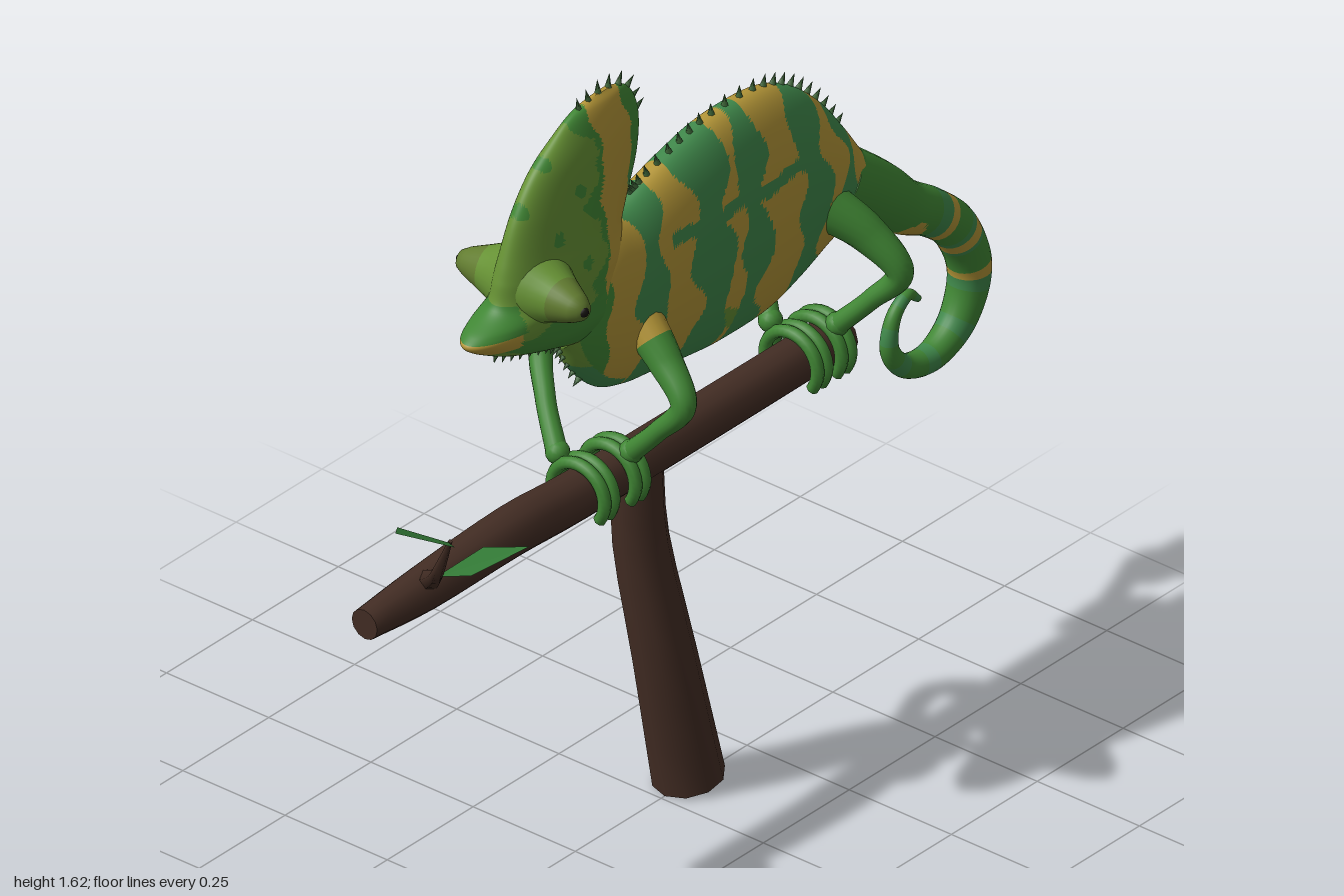
import * as THREE from 'three';
import { mergeGeometries } from 'three/addons/utils/BufferGeometryUtils.js';

const mat = (name, color, extra = {}) => {
  const m = new THREE.MeshStandardMaterial({ color, ...extra });
  m.name = name;
  return m;
};
const V = (x, y, z) => new THREE.Vector3(x, y, z);

// Smooth sampler through rows of numbers, u from 0 to 1
function sampler(rows) {
  const it = new THREE.CubicInterpolant(rows.map((_, i) => i), rows.flat(), rows[0].length);
  return (u) => Array.from(it.evaluate(u * (rows.length - 1)));
}

// Closed skin over n rings of m points; rule(centre, u) picks the material slot
function skin(n, m, ring, rule = () => 0) {
  const pos = [], buckets = [];
  const at = (k) => V(pos[3 * k], pos[3 * k + 1], pos[3 * k + 2]);
  const tri = (a, b, c, u) => {
    const slot = rule(at(a).add(at(b)).add(at(c)).divideScalar(3), u);
    (buckets[slot] ??= []).push(a, b, c);
  };
  for (let i = 0; i <= n; i++)
    for (let j = 0; j < m; j++) pos.push(...ring(i / n, (j / m) * Math.PI * 2).toArray());
  for (let i = 0; i < n; i++)
    for (let j = 0; j < m; j++) {
      const a = i * m + j, b = i * m + (j + 1) % m;
      tri(a, b, a + m, i / n);
      tri(b, b + m, a + m, i / n);
    }
  for (const end of [0, n]) {
    const start = pos.length / 3, mid = V(0, 0, 0);
    for (let j = 0; j < m; j++) {
      const p = at(end * m + j);
      mid.addScaledVector(p, 1 / m);
      pos.push(p.x, p.y, p.z);
    }
    pos.push(mid.x, mid.y, mid.z);
    for (let j = 0; j < m; j++) {
      const a = start + j, b = start + (j + 1) % m;
      if (end) tri(a, b, start + m, 1); else tri(b, a, start + m, 0);
    }
  }
  const g = new THREE.BufferGeometry();
  g.setAttribute('position', new THREE.Float32BufferAttribute(pos, 3));
  const index = [];
  buckets.forEach((list, slot) => {
    g.addGroup(index.length, list.length, slot);
    for (const k of list) index.push(k);
  });
  g.setIndex(index);
  g.computeVertexNormals();
  return g;
}

// Round sweep through rows of [x, y, z, radius]
function sweep(rows, n, m, rule) {
  const s = sampler(rows), X = V(1, 0, 0);
  return skin(n, m, (u, a) => {
    const p = s(u), q = s(Math.min(1, u + 0.01)), o = s(Math.max(0, u - 0.01));
    const T = V(q[0] - o[0], q[1] - o[1], q[2] - o[2]).normalize();
    const N = X.clone().cross(T).normalize(), B = T.clone().cross(N);
    return V(p[0], p[1], p[2]).addScaledVector(N, p[3] * Math.cos(a)).addScaledVector(B, p[3] * Math.sin(a));
  }, rule);
}

// Row of small cones standing off a [z, y] path
function spikes(path, count, h) {
  const s = sampler(path);
  return mergeGeometries(Array.from({ length: count }, (_, i) => {
    const u = i / (count - 1), p = s(u), a = s(Math.max(0, u - 0.02)), b = s(Math.min(1, u + 0.02));
    const n = V(0, a[0] - b[0], b[1] - a[1]).normalize();
    const g = new THREE.ConeGeometry(0.008, h, 6);
    g.translate(0, h * 0.35, 0);
    g.applyQuaternion(new THREE.Quaternion().setFromUnitVectors(V(0, 1, 0), n));
    return g.translate(0, p[1], p[0]);
  }));
}

export function createModel() {
  const green = mat('skin green', 0x408634), lime = mat('head lime', 0x669134);
  const teal = mat('patch teal', 0x3f874a), ochre = mat('band ochre', 0xb39537);
  const spike = mat('spike green', 0x40683a), bark = mat('bark brown', 0x432d24);
  const leafMat = mat('leaf green', 0x327835, { side: THREE.DoubleSide });
  const olive = mat('eye olive', 0x627c30), black = mat('pupil black', 0x15130f);
  const hide = [green, lime, teal, ochre];
  const GREEN = 0, LIME = 1, TEAL = 2, OCHRE = 3;

  const model = new THREE.Group();
  model.name = 'chameleonOnBranch';
  const animal = new THREE.Group();
  animal.name = 'chameleon';
  animal.position.x = -0.05;
  model.add(animal);
  const add = (parent, name, geometry, material) => {
    const mesh = new THREE.Mesh(geometry, material);
    mesh.name = name;
    parent.add(mesh);
    return mesh;
  };

  // Body: rows of [z, top, bottom, half width]
  const bodyRows = sampler([
    [0.24, 1.15, 1.08, 0.03], [0.2, 1.25, 1.01, 0.055], [0.14, 1.3, 0.95, 0.068], [0.07, 1.31, 0.925, 0.076],
    [0, 1.335, 0.915, 0.08], [-0.1, 1.365, 0.9, 0.083], [-0.2, 1.385, 0.89, 0.085], [-0.33, 1.382, 0.893, 0.085],
    [-0.42, 1.35, 0.92, 0.083], [-0.5, 1.285, 0.955, 0.076], [-0.56, 1.21, 0.975, 0.066],
    [-0.62, 1.125, 0.965, 0.055], [-0.67, 1.07, 0.96, 0.042]]);
  // Teal bands: centre z, half width
  const bands = [[0.045, 0.032], [-0.12, 0.048], [-0.24, 0.034], [-0.415, 0.04], [-0.53, 0.024]];
  const bodyRule = ({ x, y, z }) => {
    const wave = 0.009 * Math.sin(y * 26 + z * 8) + 0.005 * Math.sin(y * 55);
    if (z > 0.09 && Math.abs(x) < 0.04 && y < 1.13) return y > 1.03 ? LIME : TEAL;
    if (z + wave > 0.16) return GREEN;
    if (z + wave < -0.605) return GREEN;
    for (const [c, w] of bands)
      if (Math.abs(z - c + wave) < w + 0.015 * Math.sin(y * 33 + c * 40)) return TEAL;
    if (z < -0.01 && z > -0.4 && Math.abs(y - 1.22 + 0.006 * Math.sin(z * 40)) < 0.014) return TEAL;
    if (z < -0.06 && z > -0.24 && Math.abs(y - 0.97 + 0.012 * Math.sin(z * 50)) < 0.024) return LIME;
    return OCHRE;
  };
  add(animal, 'body', skin(190, 132, (u, a) => {
    const [z, top, bottom, w] = bodyRows(u);
    return V(w * Math.cos(a), (top + bottom) / 2 - ((top - bottom) / 2) * Math.sin(a), z);
  }, bodyRule), hide);

  // Head and casque: rows of [y, front z, back z, half width]
  const headRows = sampler([
    [1.1, 0.28, 0.08, 0.042], [1.14, 0.4, 0.06, 0.062], [1.17, 0.465, 0.06, 0.068], [1.2, 0.51, 0.06, 0.07],
    [1.22, 0.495, 0.06, 0.07], [1.25, 0.432, 0.065, 0.069], [1.3, 0.415, 0.07, 0.064], [1.34, 0.402, 0.055, 0.058],
    [1.42, 0.37, 0.022, 0.049], [1.49, 0.32, 0.013, 0.04], [1.54, 0.255, 0.025, 0.028],
    [1.57, 0.205, 0.05, 0.017], [1.586, 0.14, 0.09, 0.005]]);
  const headRule = ({ x, y, z }) => {
    const wave = 0.008 * Math.sin(y * 35) + 0.004 * Math.sin(y * 80);
    if (z > 0.41 && y > 1.18 && y < 1.21) return OCHRE;
    if (z > 0.4 && y >= 1.21 && y < 1.26) return GREEN;
    if (y < 1.18 && z > 0.2 && Math.abs(x) < 0.04) return LIME;
    if (z + wave < 0.07) return y > 1.4 ? GREEN : TEAL;
    if (z + wave < 0.165) return OCHRE;
    if (y < 1.2 + 0.012 * Math.sin(z * 45) || z + 3 * wave < 0.19) return GREEN;
    return Math.sin(y * 42 + 1) * Math.sin(z * 48) > 0.82 ? GREEN : LIME;
  };
  add(animal, 'head', skin(120, 96, (u, a) => {
    const [y, front, back, w] = headRows(u);
    return V(w * Math.sin(a), y, (front + back) / 2 + ((front - back) / 2) * Math.cos(a));
  }, headRule), hide);

  // Curled tail with a few narrow rings
  add(animal, 'tail', sweep([
    [0, 1.09, -0.55, 0.07], [0, 1.04, -0.62, 0.066], [0, 0.985, -0.69, 0.062], [0, 0.925, -0.76, 0.054],
    [0, 0.875, -0.84, 0.048], [0, 0.805, -0.915, 0.046], [0, 0.7, -0.957, 0.043], [0, 0.605, -0.925, 0.037],
    [0, 0.558, -0.85, 0.03], [0, 0.57, -0.77, 0.024], [0, 0.625, -0.725, 0.019], [0, 0.69, -0.735, 0.015],
    [0, 0.722, -0.775, 0.012], [0, 0.7, -0.808, 0.007]], 170, 24, (p, u) => {
    if (Math.hypot(p.y - 0.875, p.z + 0.745) < 0.034) return OCHRE;
    if ([0.325, 0.39, 0.455].some((c) => Math.abs(u - c) < 0.009)) return OCHRE;
    return u > 0.28 && Math.sin(u * 75 + 1) < -0.4 ? TEAL : GREEN;
  }), hide);

  // Crests and beard
  add(animal, 'backCrest', spikes([[0.03, 1.32], [0, 1.335], [-0.1, 1.365], [-0.2, 1.385],
    [-0.33, 1.382], [-0.42, 1.35], [-0.5, 1.285], [-0.57, 1.195]], 24, 0.029), spike);
  add(animal, 'casqueCrest', spikes([[0.18, 1.572], [0.115, 1.585], [0.05, 1.565], [0.018, 1.5]], 8, 0.036), spike);
  add(animal, 'beard', spikes([[0.18, 0.985], [0.225, 1.06], [0.26, 1.098], [0.34, 1.122], [0.42, 1.152]], 14, 0.025), spike);

  // Legs, gripping feet and cone eyes, mirrored
  for (const s of [1, -1]) {
    const side = s > 0 ? 'left' : 'right';
    const paths = {
      FrontLeg: [[0.035, 1.08, 0.05, 0.044], [0.11, 1.01, 0.06, 0.034], [0.172, 0.945, 0.08, 0.025],
        [0.12, 0.875, s > 0 ? 0.09 : 0.135, 0.02], [0.055, 0.805, s > 0 ? 0.09 : 0.18, 0.021]],
      HindLeg: [[0.035, 1.08, -0.48, 0.05], [0.11, 1.02, -0.525, 0.038], [0.172, 0.945, -0.55, 0.027],
        [0.12, 0.875, s > 0 ? -0.53 : -0.495, 0.02], [0.055, 0.805, s > 0 ? -0.51 : -0.44, 0.021]],
    };
    for (const [name, path] of Object.entries(paths)) {
      const leg = path.map(([x, y, z, r]) => [x * s, y, z, r]);
      const sleeve = name === 'FrontLeg' ? 0.14 : 0;
      add(animal, side + name, sweep(leg, 50, 16, (p, u) => (u < sleeve ? OCHRE : GREEN)), hide);
      const z = path[4][2];
      const grip = [-0.013, 0.013].map((dz) => {
        const toe = new THREE.TorusGeometry(0.064, 0.013, 8, 24, 4.4).rotateZ(-0.63);
        return toe.translate(0.01, 0.742, z + dz);
      });
      grip.push(new THREE.SphereGeometry(0.024, 14, 10).translate(0.052 * s, 0.803, z));
      add(animal, side + name.replace('Leg', 'Foot'), mergeGeometries(grip), green);
    }
    const eye = new THREE.Group();
    eye.name = side + 'Eye';
    eye.position.set(0, 1.265, 0.325);
    eye.rotation.set(0, -s * 0.13, -s * Math.PI / 2, 'YXZ');
    animal.add(eye);
    const lathe = (profile) => new THREE.LatheGeometry(profile.map((p) => new THREE.Vector2(...p)), 28);
    add(eye, 'eyeBase', lathe([[0.078, 0.03], [0.064, 0.054], [0.053, 0.076], [0.046, 0.092]]), lime);
    add(eye, 'eyeTurret', lathe([[0.046, 0.092], [0.038, 0.112], [0.029, 0.134], [0.019, 0.151], [0, 0.157]]), olive);
    add(eye, 'pupil', new THREE.SphereGeometry(0.011, 12, 8), black).position.y = 0.15;
  }

  // Perch: branch, post and twig
  add(model, 'branch', sweep([[-0.045, 0.74, 0.81, 0.032], [-0.04, 0.745, 0.64, 0.045], [-0.035, 0.757, 0.4, 0.05],
    [-0.04, 0.743, 0.2, 0.049], [-0.04, 0.74, -0.2, 0.048], [-0.04, 0.74, -0.565, 0.047]], 20, 12), bark);
  add(model, 'post', sweep([[0, 0.012, -0.08, 0.071], [-0.018, 0.3, -0.03, 0.062], [-0.05, 0.55, 0, 0.055],
    [-0.048, 0.73, 0.012, 0.05]], 9, 10), bark);
  add(model, 'twig', sweep([[-0.03, 0.765, 0.64, 0.022], [0.03, 0.82, 0.7, 0.018], [0.085, 0.875, 0.755, 0.013],
    [0.125, 0.935, 0.785, 0.009], [0.165, 1.005, 0.81, 0.004]], 12, 6), bark);

  // Leaves: two facets folded along the midrib
  const leaf = (name, a, b, c, d) => {
    const g = new THREE.BufferGeometry();
    g.setAttribute('position', new THREE.Float32BufferAttribute([a, b, c, a, c, d].flat(), 3));
    g.computeVertexNormals();
    add(model, name, g, leafMat);
  };
  leaf('tipLeaf', [0.16, 1.0, 0.81], [0.24, 1.055, 0.885], [0.19, 1.12, 1.0], [0.115, 1.06, 0.905]);
  leaf('sideLeaf', [0.085, 0.87, 0.755], [0.12, 0.905, 0.66], [0.24, 0.957, 0.67], [0.17, 0.905, 0.755]);
  return model;
}
